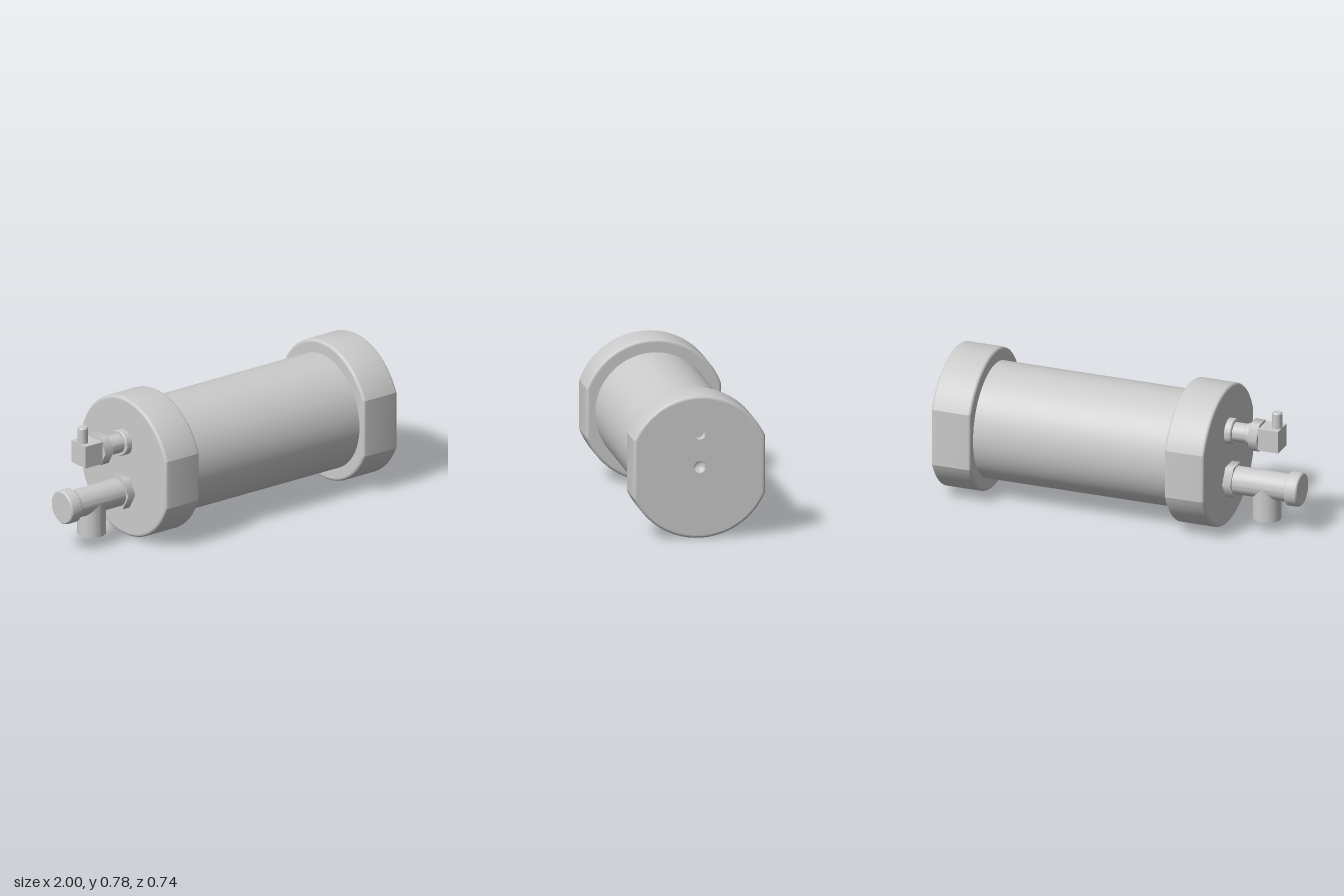
import * as THREE from 'three';
import { toCreasedNormals } from 'three/addons/utils/BufferGeometryUtils.js';

const CY = 0.395; // height of the tank axis
const mat = new THREE.MeshStandardMaterial({ color: 0xcccccc, side: THREE.DoubleSide });

function add(parent, name, geometry, x = 0, y = 0, z = 0) {
  const mesh = new THREE.Mesh(geometry, mat);
  mesh.name = name;
  mesh.position.set(x, y, z);
  parent.add(mesh);
  return mesh;
}

// Turned part from [radius, along] pairs; lies along x unless upright
function turned(profile, upright = false, sides = 48) {
  const g = new THREE.LatheGeometry(profile.map(([r, a]) => new THREE.Vector2(r, a)), sides);
  if (!upright) g.rotateZ(-Math.PI / 2);
  return toCreasedNormals(g, 0.5);
}

// Hexagonal nut along x, with points facing front and back
function hexNut(radius, length) {
  return new THREE.CylinderGeometry(radius, radius, length, 6).toNonIndexed().rotateZ(Math.PI / 2);
}

// Circle cut off by a flat on each side
function outline(radius, flat) {
  const pts = [], a = Math.acos(flat / radius), n = 40;
  for (const start of [a, a + Math.PI]) {
    for (let i = 0; i <= n; i++) {
      const t = start + (Math.PI - 2 * a) * i / n;
      pts.push(new THREE.Vector2(radius * Math.cos(t), radius * Math.sin(t)));
    }
  }
  return pts;
}

// End cap with rounded rims, two flats and optional blind holes; outer face at local +z
function endCap(name, flat, length, holes) {
  const cap = new THREE.Group();
  cap.name = name;
  const R = 0.392, b = 0.016, steps = 6, rows = [];
  for (const end of [0, 1]) {
    for (let i = 0; i <= steps; i++) {
      const t = Math.PI / 2 * (end ? i : steps - i) / steps;
      const inset = b * (1 - Math.cos(t)), out = b * (1 - Math.sin(t));
      rows.push({ z: end ? length - out : out, pts: outline(R - inset, flat - inset) });
    }
  }
  const pos = [], idx = [], n = rows[0].pts.length;
  rows.forEach(({ z, pts }, r) => pts.forEach((p, i) => {
    pos.push(p.x, p.y, z);
    if (r < rows.length - 1) {
      const a = r * n + i, c = r * n + (i + 1) % n;
      idx.push(a, c, a + n, c, c + n, a + n);
    }
  }));
  const side = new THREE.BufferGeometry();
  side.setAttribute('position', new THREE.Float32BufferAttribute(pos, 3));
  side.setIndex(idx);
  add(cap, 'capRim', toCreasedNormals(side, 0.3));

  const edge = outline(R - b, flat - b);
  add(cap, 'capInnerFace', new THREE.ShapeGeometry(new THREE.Shape(edge)).rotateY(Math.PI));
  const face = new THREE.Shape(edge);
  for (const { y, depth, dish } of holes) {
    const r = 0.033;
    face.holes.push(new THREE.Path().absarc(0, y, r, 0, Math.PI * 2, true));
    // Wall and floor of the hole
    const g = new THREE.LatheGeometry([[0, -depth - dish], [r * 0.6, -depth - dish * 0.75],
      [r, -depth], [r, 0]].map(([a, c]) => new THREE.Vector2(a, c)), 32);
    add(cap, 'portHole', toCreasedNormals(g.rotateX(Math.PI / 2), 0.7), 0, y, length);
  }
  add(cap, 'capOuterFace', new THREE.ShapeGeometry(face, 32), 0, 0, length);
  return cap;
}

export function createModel() {
  const model = new THREE.Group();
  model.name = 'pressureTank';

  // Tank body
  const body = new THREE.CylinderGeometry(0.32, 0.32, 1.16, 96, 1, true).rotateZ(Math.PI / 2);
  add(model, 'tankBody', body, 0.21, CY);

  // End caps
  const leftCap = endCap('portedEndCap', 0.358, 0.228, [
    { y: 0, depth: 0.04, dish: 0.02 }, { y: 0.185, depth: 0.05, dish: 0 }]);
  leftCap.position.set(0.772, CY, 0);
  leftCap.rotation.y = Math.PI / 2;
  const rightCap = endCap('fittingEndCap', 0.368, 0.228, []);
  rightCap.position.set(-0.348, CY, 0);
  rightCap.rotation.y = -Math.PI / 2;
  model.add(leftCap, rightCap);

  // Upper valve: collar, neck, nut, square block and stem
  const valve = new THREE.Group();
  valve.name = 'valve';
  valve.position.y = 0.538;
  model.add(valve);
  add(valve, 'valveCollar', turned([[0, -0.614], [0.066, -0.614], [0.071, -0.609], [0.071, -0.57]]));
  add(valve, 'valveNeck', turned([[0.058, -0.72], [0.058, -0.69], [0.052, -0.685], [0.052, -0.6]]));
  add(valve, 'valveNut', hexNut(0.088, 0.055), -0.742);
  add(valve, 'valveBlock', new THREE.BoxGeometry(0.118, 0.125, 0.125), -0.826);
  add(valve, 'valveStem', turned(
    [[0.028, 0.05], [0.028, 0.144], [0.022, 0.152], [0, 0.152]], true, 32), -0.856);

  // Lower tee: hex collar, run, end plug and open outlet
  const tee = new THREE.Group();
  tee.name = 'teeFitting';
  tee.position.y = 0.258;
  model.add(tee);
  add(tee, 'teeCollar', hexNut(0.098, 0.05), -0.598);
  add(tee, 'teeRun', turned([[0.077, -0.94], [0.077, -0.58]]));
  add(tee, 'teePlug', turned([[0, -1], [0.086, -1], [0.092, -0.994], [0.094, -0.985],
    [0.094, -0.935], [0.088, -0.928], [0.07, -0.928]]));
  add(tee, 'teeOutlet', turned(
    [[0, -0.07], [0.069, -0.07], [0.069, -0.193], [0.077, -0.193], [0.077, 0]], true), -0.797);

  return model;
}
